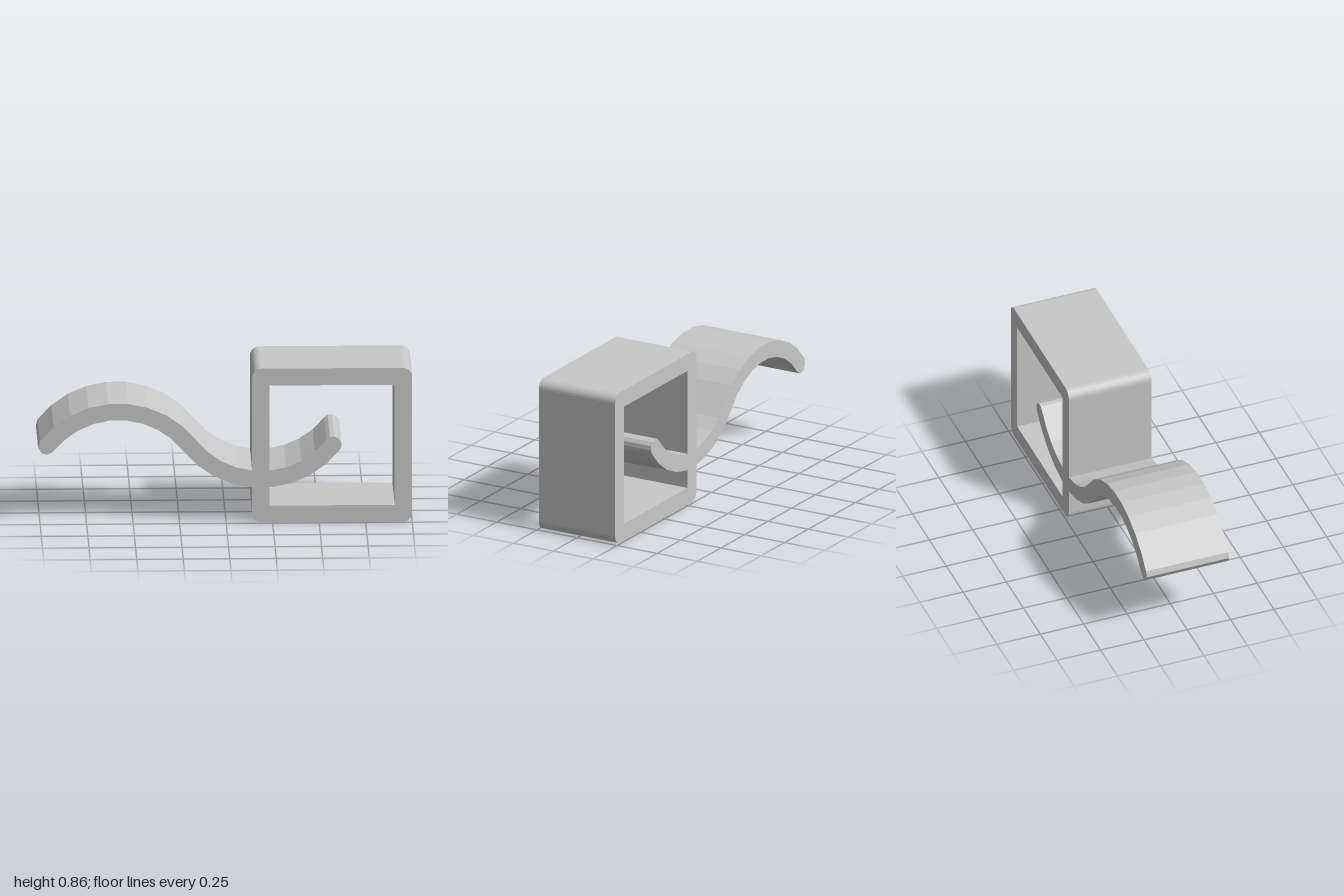
import * as THREE from 'three';

const DEPTH = 0.476;

// Flat-sided extrusion centred on z = 0
function extrude(shape, material, name, curveSegments) {
  const geometry = new THREE.ExtrudeGeometry(shape, { depth: DEPTH, bevelEnabled: false, curveSegments });
  geometry.translate(0, 0, -DEPTH / 2);
  const mesh = new THREE.Mesh(geometry, material);
  mesh.name = name;
  return mesh;
}

// Square frame with rounded outer corners and a sharp square opening
function frameShape() {
  const x0 = 0.14, x1 = 1, y0 = 0, y1 = 0.855, r = 0.05, wall = 0.094;
  const shape = new THREE.Shape();
  shape.absarc(x1 - r, y0 + r, r, -Math.PI / 2, 0);
  shape.absarc(x1 - r, y1 - r, r, 0, Math.PI / 2);
  shape.absarc(x0 + r, y1 - r, r, Math.PI / 2, Math.PI);
  shape.absarc(x0 + r, y0 + r, r, Math.PI, Math.PI * 1.5);
  shape.closePath();
  shape.holes.push(new THREE.Path([
    new THREE.Vector2(x0 + wall, y0 + wall),
    new THREE.Vector2(x0 + wall, y1 - wall),
    new THREE.Vector2(x1 - wall, y1 - wall),
    new THREE.Vector2(x1 - wall, y0 + wall),
  ]));
  return shape;
}

// S-shaped band: a crest arc running into a trough arc, with round ends
function bandShape() {
  const half = 0.046, r = 0.485, sweep = 0.917, steps = 9;
  const line = []; // centre line points with their normal angle
  for (let i = 0; i <= steps; i++) {
    const a = Math.PI / 2 + sweep * (1 - (2 * i) / steps);
    line.push([-0.58 + r * Math.cos(a), 0.62 - r + r * Math.sin(a), a]);
  }
  for (let i = 1; i <= steps; i++) {
    const a = -Math.PI / 2 - sweep * (1 - (2 * i) / steps);
    line.push([0.19 + r * Math.cos(a), 0.24 + r + r * Math.sin(a), a + Math.PI]);
  }
  const at = ([x, y, a], turn = 0) =>
    new THREE.Vector2(x + half * Math.cos(a + turn), y + half * Math.sin(a + turn));
  const cap = (p, start, n) => Array.from({ length: n - 1 }, (_, i) => at(p, start - (Math.PI * (i + 1)) / n));
  return new THREE.Shape([
    ...line.map((p) => at(p)),
    ...cap(line[line.length - 1], 0, 6),
    ...line.slice().reverse().map((p) => at(p, Math.PI)),
    ...cap(line[0], Math.PI, 4),
  ]);
}

export function createModel() {
  const grey = new THREE.MeshStandardMaterial({ color: 0xc8c8c8 });
  grey.name = 'light grey';
  const group = new THREE.Group();
  group.name = 'frameWithWave';
  group.add(extrude(frameShape(), grey, 'squareFrame', 3));
  group.add(extrude(bandShape(), grey, 'wavyBand', 1));
  return group;
}
